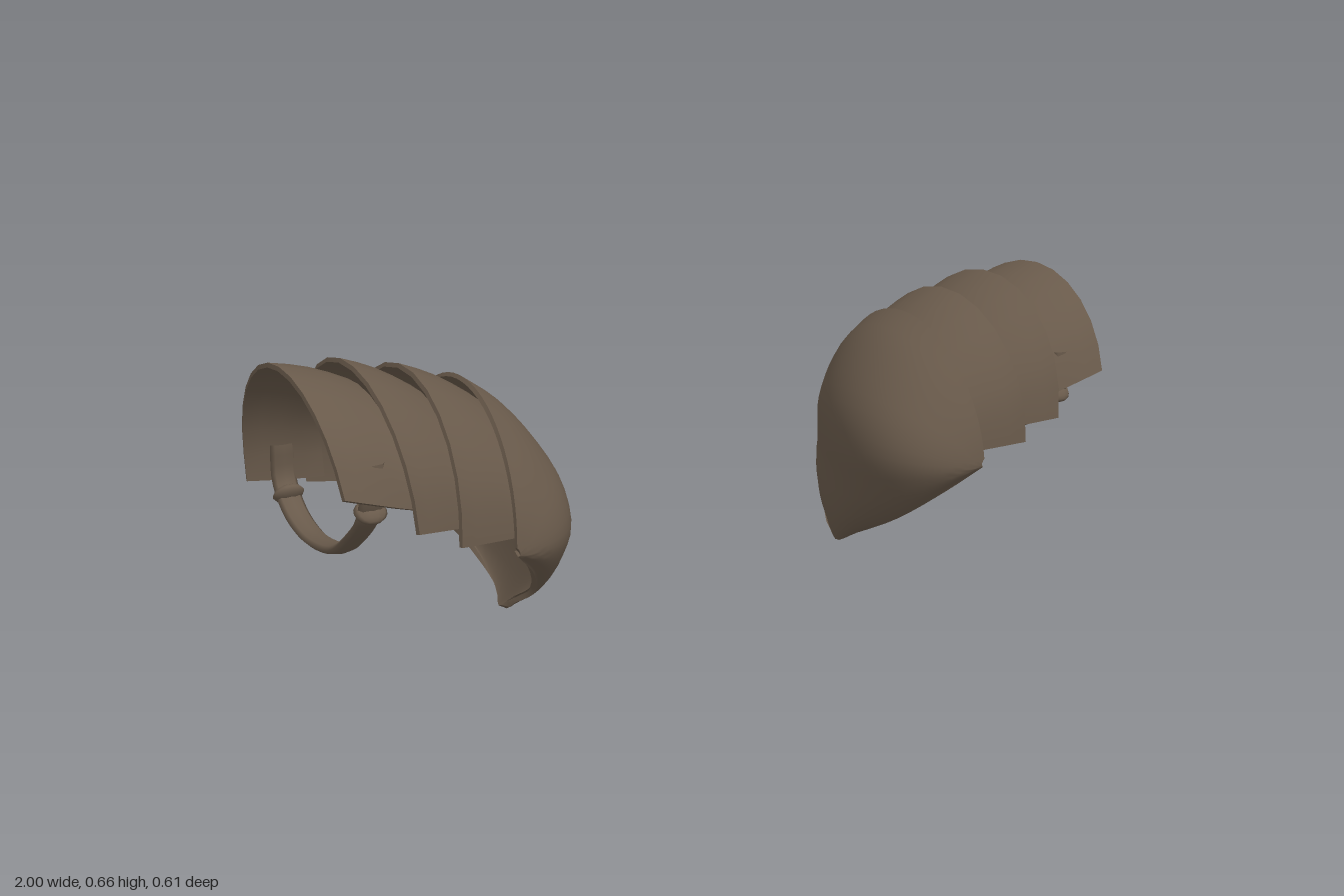
import * as THREE from 'three';
import { toCreasedNormals } from 'three/addons/utils/BufferGeometryUtils.js';

const { lerp, degToRad: rad, smoothstep } = THREE.MathUtils;
const curveOf = (points) => new THREE.CatmullRomCurve3(points.map((p) => new THREE.Vector3(...p)));

// Closed shell from a surface rule fn(u, v) -> Vector3, mirrored by side;
// thickness runs from thick at v = 0 to a thin rim at v = 1
function shell(fn, nu, nv, thick, side) {
  const pos = [], idx = [], row = nu + 1;
  for (let j = 0; j <= nv; j++) for (let i = 0; i <= nu; i++) {
    const p = fn(i / nu, j / nv);
    pos.push(p.x * side, p.y, p.z);
  }
  const quad = (a, b, c, d) => {
    if (side > 0) idx.push(a, b, c, a, c, d);
    else idx.push(a, c, b, a, d, c);
  };
  for (let j = 0; j < nv; j++) for (let i = 0; i < nu; i++) {
    const a = j * row + i;
    quad(a, a + row, a + row + 1, a + 1);
  }
  const geo = new THREE.BufferGeometry();
  geo.setAttribute('position', new THREE.Float32BufferAttribute(pos, 3));
  geo.setIndex(idx.slice());
  geo.computeVertexNormals();

  // inner face, offset along the normals
  const n = geo.attributes.normal.array, count = row * (nv + 1);
  const depth = (k) => lerp(thick, 0.01, Math.floor(k / 3 / row) / nv);
  const all = pos.concat(pos.map((p, k) => p - n[k] * depth(k)));
  const outer = idx.slice();
  for (let k = 0; k < outer.length; k += 3)
    idx.push(outer[k] + count, outer[k + 2] + count, outer[k + 1] + count);

  // edge strips
  const edge = (a, b) => quad(a, b, b + count, a + count);
  for (let i = 0; i < nu; i++) {
    edge(i, i + 1);
    edge(nv * row + i + 1, nv * row + i);
  }
  for (let j = 0; j < nv; j++) {
    edge((j + 1) * row, j * row);
    edge(j * row + nu, (j + 1) * row + nu);
  }
  const solid = new THREE.BufferGeometry();
  solid.setAttribute('position', new THREE.Float32BufferAttribute(all, 3));
  solid.setIndex(idx);
  return toCreasedNormals(solid, 0.7);
}

// Overlapping bands; each end: x at top, x at bottom, centre y, top y, half depth
const bands = [
  { name: 'outerBand', inner: [0.835, 0.81, 0.36, 0.603, 0.258], outer: [1.0, 0.975, 0.36, 0.657, 0.297], from: [6, 16], to: [188, 186] },
  { name: 'middleBand', inner: [0.7, 0.71, 0.33, 0.573, 0.26], outer: [0.853, 0.833, 0.35, 0.65, 0.306], from: [0, 0], to: [187, 189] },
  { name: 'lowerBand', inner: [0.57, 0.585, 0.3, 0.54, 0.26], outer: [0.722, 0.738, 0.32, 0.622, 0.304], from: [-3, -3], to: [187, 190] },
];

function bandRule(b) {
  return (u, v) => {
    const [xt, xb, cy, top, rz] = b.inner.map((a, k) => lerp(a, b.outer[k], v));
    const a = rad(lerp(lerp(b.from[0], b.from[1], v), lerp(b.to[0], b.to[1], v), u));
    const s = Math.sin(a);
    const bulge = 0.008 * Math.sin(Math.PI * v);
    return new THREE.Vector3(lerp(xb, xt, Math.max(s, 0)), cy + (top - cy + bulge) * s, rz * Math.cos(a));
  };
}

// Ridge of the domed cap from the low tip up to its rim; z holds the sideways shift
const ridge = curveOf([
  [0.46, 0.0, -0.075], [0.428, 0.07, -0.03], [0.415, 0.18, 0.04], [0.4, 0.27, 0.07],
  [0.41, 0.36, 0.05], [0.455, 0.45, 0.02], [0.52, 0.53, 0.0], [0.59, 0.582, 0.0],
]);

// Lower lip of the cap from front corner through the tip to the back corner
const lip = curveOf([
  [0.612, 0.262, 0.303], [0.55, 0.2, 0.25], [0.49, 0.11, 0.14], [0.468, 0.037, 0.0],
  [0.46, 0.0, -0.077],
  [0.466, 0.05, -0.115], [0.485, 0.1, -0.16], [0.52, 0.16, -0.21], [0.608, 0.24, -0.285],
]);

// Arcs fan around a front-to-back axis and settle onto the lip
function capRule(u, v) {
  const p = ridge.getPoint(v);
  const a = rad(lerp(3, 177, u));
  const s = Math.sin(a), c = Math.cos(a);
  const power = 1 + Math.max(0, 1 - v / 0.5) * (c > 0 ? 1.2 : 2.0);
  const arc = new THREE.Vector3(
    lerp(0.615, p.x, Math.pow(s, 1.1)),
    lerp(lerp(0.265, 0.24, u), p.y, Math.pow(s, power)),
    lerp(0.305, 0.29, u) * c + p.z * s * s,
  );
  return lip.getPoint(u).lerp(arc, smoothstep(v, 0, 0.28));
}

export function createModel() {
  const brown = new THREE.MeshStandardMaterial({ color: 0x695a4b });
  brown.name = 'dull brown';
  const model = new THREE.Group();
  model.name = 'shoulderArmour';

  // arm strap path, hanging across the opening and fixed inside the outer band
  const strapPath = curveOf([
    [0, 0.49, 0.232], [0, 0.43, 0.232], [0, 0.37, 0.205], [0, 0.305, 0.13], [0, 0.26, 0.055],
    [0, 0.241, -0.03], [0, 0.241, -0.12], [0, 0.272, -0.21], [0, 0.33, -0.262], [0, 0.41, -0.262],
  ]);

  for (const side of [1, -1]) {
    const guard = new THREE.Group();
    guard.name = side > 0 ? 'leftShoulderGuard' : 'rightShoulderGuard';
    const add = (name, geo, x = 0, y = 0, z = 0) => {
      const mesh = new THREE.Mesh(geo, brown);
      mesh.name = name;
      mesh.position.set(x * side, y, z);
      guard.add(mesh);
      return mesh;
    };

    for (const b of bands) add(b.name, shell(bandRule(b), 14, 4, 0.016, side));
    add('domedCap', shell(capRule, 32, 20, 0.016, side));
    add('armStrap', new THREE.TubeGeometry(strapPath, 32, 0.012, 8, false).scale(2.4, 1, 1), 0.9);

    // folded ends where the strap meets the band
    for (const [y, z, tilt] of [[0.385, 0.216, -0.9], [0.3, -0.24, 0.7]])
      add('strapFold', new THREE.SphereGeometry(1, 10, 8).scale(0.036, 0.03, 0.016), 0.9, y, z).rotation.x = tilt;

    model.add(guard);
  }
  return model;
}
